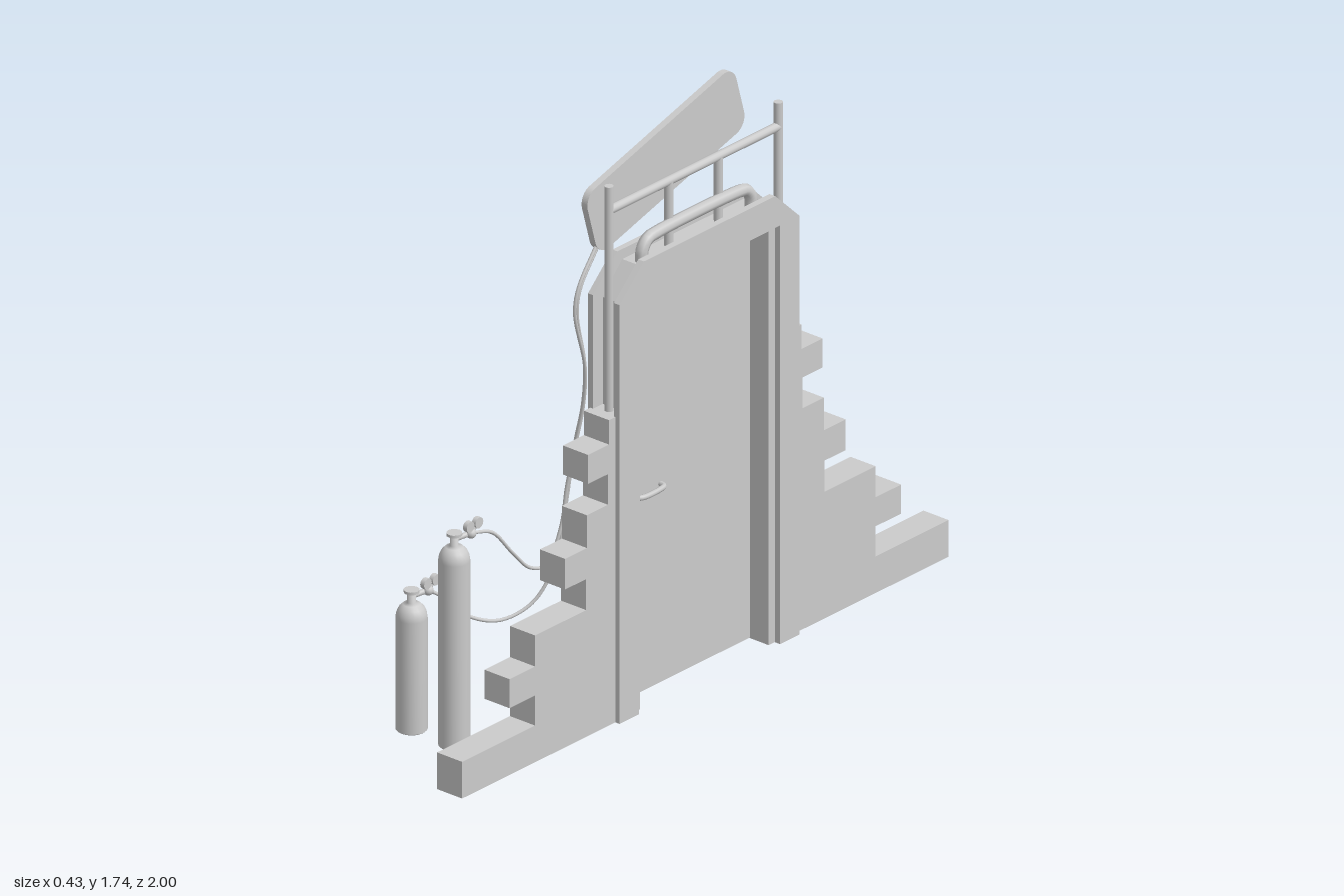
import * as THREE from 'three';

const grey = new THREE.MeshStandardMaterial({ color: 0xcccccc });
const V = (x, y, z) => new THREE.Vector3(x, y, z);

export function createModel() {
  const root = new THREE.Group();

  const add = (name, geo, parent = root) => {
    const m = new THREE.Mesh(geo, grey);
    m.name = name;
    parent.add(m);
    return m;
  };
  // Flat outline given as [z, y], extruded along x from x0 to x1
  const slab = (pts, x0, x1) => {
    const shape = new THREE.Shape(pts.map(([z, y]) => new THREE.Vector2(-z, y)));
    return new THREE.ExtrudeGeometry(shape, { depth: x1 - x0, bevelEnabled: false })
      .rotateY(Math.PI / 2).translate(x0, 0, 0);
  };
  const rod = (name, a, b, r, parent = root, sides = 12) => {
    const m = add(name, new THREE.CylinderGeometry(r, r, a.distanceTo(b), sides), parent);
    m.position.copy(a).lerp(b, 0.5);
    m.quaternion.setFromUnitVectors(V(0, 1, 0), b.clone().sub(a).normalize());
    return m;
  };
  const tube = (name, pts, r, segs, parent = root) =>
    add(name, new THREE.TubeGeometry(new THREE.CatmullRomCurve3(pts, false, 'centripetal'), segs, r, 8), parent);

  // Stepped brick wall on each side: [outer z, top y] of every course
  const courses = [[1, 0.11], [0.7, 0.2], [0.805, 0.287], [0.7, 0.38], [0.49, 0.473],
    [0.577, 0.565], [0.487, 0.663], [0.4, 0.755], [0.482, 0.842], [0.396, 0.915]];
  for (const s of [1, -1]) {
    const pts = [[s * 0.325, 0]];
    let y = 0;
    for (const [z, top] of courses) {
      pts.push([s * z, y], [s * z, top]);
      y = top;
    }
    pts.push([s * 0.325, y]);
    add('brickWall', slab(pts, 0.11, 0.2));
  }

  // Door frame: two chamfered face plates around a smaller core
  const arch = (w, top, shoulder, cw, iw, itop) => [
    [w, 0], [w, shoulder], [cw, top], [-cw, top], [-w, shoulder], [-w, 0],
    [-iw, 0], [-iw, itop], [iw, itop], [iw, 0]];
  add('outerFramePlate', slab(arch(0.37, 1.35, 1.255, 0.27, 0.29, 1.255), 0.195, 0.215));
  add('frameCore', slab(arch(0.33, 1.32, 1.235, 0.25, 0.265, 1.24), 0.119, 0.196));
  add('innerFramePlate', slab(arch(0.37, 1.35, 1.255, 0.27, 0.265, 1.24), 0.102, 0.12));

  // Door leaf with hinges and a lever on both faces
  const door = new THREE.Group();
  door.name = 'door';
  root.add(door);
  add('doorLeaf', new THREE.BoxGeometry(0.028, 1.236, 0.53), door).position.set(0.115, 0.62, 0);
  for (const y of [1.145, 0.71, 0.135])
    rod('hinge', V(0.094, y - 0.045, -0.27), V(0.094, y + 0.045, -0.27), 0.008, door);
  for (const [x, s] of [[0.102, -1], [0.128, 1]]) {
    tube('doorHandle', [V(x, 0.606, 0.225), V(x + s * 0.027, 0.606, 0.227), V(x + s * 0.036, 0.606, 0.212),
      V(x + s * 0.036, 0.606, 0.14), V(x + s * 0.03, 0.606, 0.122), V(x + s * 0.014, 0.606, 0.117)], 0.008, 24, door);
    rod('handleRose', V(x - s * 0.002, 0.606, 0.225), V(x + s * 0.005, 0.606, 0.225), 0.015, door);
  }

  // Railing on top of the frame
  for (const s of [1, -1]) {
    rod('railPost', V(0.158, 0.9, s * 0.348), V(0.158, 1.587, s * 0.348), 0.013);
    rod('railStrut', V(0.158, 1.32, s * 0.102), V(0.158, 1.514, s * 0.102), 0.013);
  }
  rod('topRail', V(0.158, 1.514, -0.348), V(0.158, 1.514, 0.348), 0.013);
  tube('grabBar', [V(0.17, 1.32, 0.228), V(0.17, 1.355, 0.225), V(0.17, 1.38, 0.205), V(0.17, 1.386, 0.17),
    V(0.17, 1.386, -0.17), V(0.17, 1.38, -0.2), V(0.17, 1.355, -0.22), V(0.17, 1.32, -0.223)], 0.018, 48);

  // Tilted sign panel with a raised rim
  const rounded = (Type, w, h, r) => {
    const p = new Type();
    const a = w / 2 - r, b = h / 2 - r;
    p.absarc(a, b, r, 0, Math.PI / 2);
    p.absarc(-a, b, r, Math.PI / 2, Math.PI);
    p.absarc(-a, -b, r, Math.PI, Math.PI * 1.5);
    p.absarc(a, -b, r, Math.PI * 1.5, Math.PI * 2);
    p.closePath();
    return p;
  };
  const panel = new THREE.Group();
  panel.name = 'signPanel';
  const plate = rounded(THREE.Shape, 0.635, 0.205, 0.045);
  const rim = plate.clone();
  rim.holes.push(rounded(THREE.Path, 0.585, 0.155, 0.03));
  const extrude = (shape, depth) => new THREE.ExtrudeGeometry(shape, { depth, bevelEnabled: false, curveSegments: 8 });
  add('panelPlate', extrude(plate, 0.013), panel).position.z = 0.008;
  add('panelRim', extrude(rim, 0.009), panel);
  panel.rotation.set(0, Math.PI / 2, THREE.MathUtils.degToRad(16), 'YXZ');
  panel.position.set(0.125, 1.568, 0.1);
  root.add(panel);

  // Gas cylinders with valve, regulator and two gauges
  const gasCylinder = (x, z, top) => {
    const g = new THREE.Group();
    g.name = 'gasCylinder';
    g.position.set(x, 0.012, z);
    root.add(g);
    const h = top - 0.012, r = 0.044;
    const prof = [[0, 0], [r - 0.004, 0], [r, 0.004], [r, h - 0.045], [r * 0.95, h - 0.03],
      [r * 0.8, h - 0.015], [r * 0.55, h - 0.004], [0.012, h], [0.012, h + 0.03], [0, h + 0.03]];
    add('bottle', new THREE.LatheGeometry(prof.map(([a, b]) => new THREE.Vector2(a, b)), 20), g);
    rod('valveWheel', V(0, h + 0.03, 0), V(0, h + 0.038, 0), 0.022, g);
    rod('valveOutlet', V(0, h + 0.018, 0), V(0.018, h + 0.024, -0.055), 0.008, g);
    add('regulator', new THREE.SphereGeometry(0.015, 12, 8), g).position.set(0.018, h + 0.024, -0.048);
    for (const dz of [-0.034, -0.07]) {
      rod('gaugeStem', V(0.018, h + 0.024, -0.05), V(0.022, h + 0.048, dz), 0.005, g);
      rod('gauge', V(0.015, h + 0.05, dz), V(0.029, h + 0.05, dz), 0.016, g);
    }
  };
  gasCylinder(-0.171, 0.782, 0.393);
  gasCylinder(-0.018, 0.782, 0.612);

  // Hoses sag from the regulators, then climb to the panel
  const climb = (d) => [V(0.068 + d, 0.8, 0.385 + d), V(0.09 + d, 0.92, 0.378 + d), V(0.112 + d, 1.05, 0.395 + d),
    V(0.134, 1.24, 0.452 + d), V(0.138, 1.31, 0.442 + d), V(0.138, 1.41, 0.37 + d)];
  tube('hose', [V(-0.153, 0.415, 0.73), V(-0.138, 0.385, 0.69), V(-0.105, 0.315, 0.625), V(-0.06, 0.288, 0.545),
    V(-0.015, 0.325, 0.465), V(0.02, 0.43, 0.415), V(0.042, 0.6, 0.395), ...climb(0)], 0.005, 90);
  tube('hose', [V(0, 0.636, 0.73), V(0.01, 0.615, 0.66), V(0.018, 0.53, 0.585), V(0.022, 0.46, 0.515),
    V(0.028, 0.45, 0.455), V(0.04, 0.55, 0.41), V(0.052, 0.67, 0.4), ...climb(0.009)], 0.005, 90);

  return root;
}
